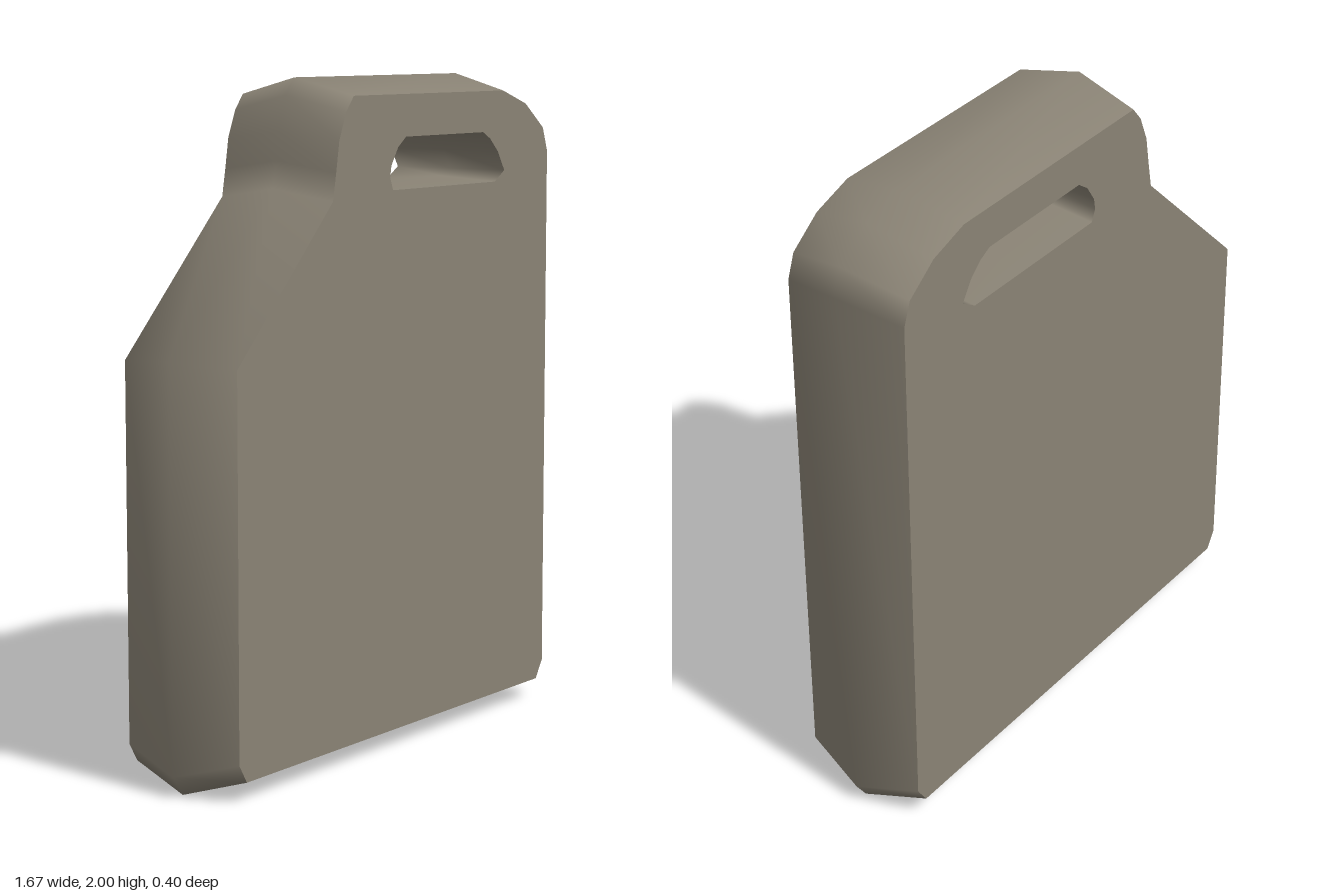
import * as THREE from 'three';

const HALF = 0.2; // half thickness of the body

// Outline at the ridge (z = 0), counter-clockwise
const ridge = [
  [-0.795, 0], [0.795, 0], [0.836, 0.06], [0.836, 1.8], [0.805, 1.88], [0.69, 1.957], [0.566, 2],
  [-0.265, 2], [-0.307, 1.95], [-0.34, 1.845], [-0.352, 1.765], [-0.37, 1.685], [-0.838, 1.233], [-0.838, 0.06],
];
// Matching outline of the flat front and back faces
const rim = [
  [-0.757, 0.06], [0.752, 0.06], [0.788, 0.115], [0.788, 1.757], [0.762, 1.83], [0.66, 1.907], [0.53, 1.95],
  [-0.25, 1.95], [-0.287, 1.905], [-0.32, 1.825], [-0.335, 1.735], [-0.35, 1.655], [-0.79, 1.22], [-0.79, 0.115],
];
// Handle slot, clockwise so that its wall faces inward
const slot = [
  [-0.064, 1.745], [-0.03, 1.797], [0.01, 1.826], [0.42, 1.826], [0.46, 1.805],
  [0.503, 1.765], [0.54, 1.706], [0.487, 1.673], [-0.055, 1.673], [-0.07, 1.71],
];
// The slot floor rises slightly in the middle
const slotMiddle = slot.map(([x, y]) => [x, y < 1.68 ? 1.685 : y]);

// Smooth wall through closed rings, listed from back to front
function wall(rings) {
  const n = rings[0].points.length;
  const positions = rings.flatMap(({ points, z }) => points.flatMap(([x, y]) => [x, y, z]));
  const index = [];
  for (let r = 0; r < rings.length - 1; r++) {
    for (let i = 0; i < n; i++) {
      const j = (i + 1) % n;
      const a = r * n + i, b = r * n + j, c = b + n, d = a + n;
      index.push(a, b, c, a, c, d);
    }
  }
  const geometry = new THREE.BufferGeometry();
  geometry.setAttribute('position', new THREE.Float32BufferAttribute(positions, 3));
  geometry.setIndex(index);
  geometry.computeVertexNormals();
  return geometry;
}

// Flat face with the slot cut out; side is +1 for front, -1 for back
function face(side) {
  const toPoints = (list) => list.map(([x, y]) => new THREE.Vector2(x * side, y));
  const shape = new THREE.Shape(toPoints(rim));
  shape.holes.push(new THREE.Path(toPoints(slot)));
  const geometry = new THREE.ShapeGeometry(shape);
  geometry.translate(0, 0, HALF);
  if (side < 0) geometry.rotateY(Math.PI);
  return geometry;
}

export function createModel() {
  const group = new THREE.Group();
  group.name = 'canister';
  const paint = new THREE.MeshStandardMaterial({ color: 0x8a8375 });
  paint.name = 'greyBeige';

  const add = (name, geometry) => {
    const mesh = new THREE.Mesh(geometry, paint);
    mesh.name = name;
    group.add(mesh);
  };
  const rings = (edge, middle) => [
    { points: edge, z: -HALF }, { points: middle, z: 0 }, { points: edge, z: HALF },
  ];

  add('frontFace', face(1));
  add('backFace', face(-1));
  add('bodySides', wall(rings(rim, ridge)));
  add('handleSlot', wall(rings(slot, slotMiddle)));
  return group;
}
